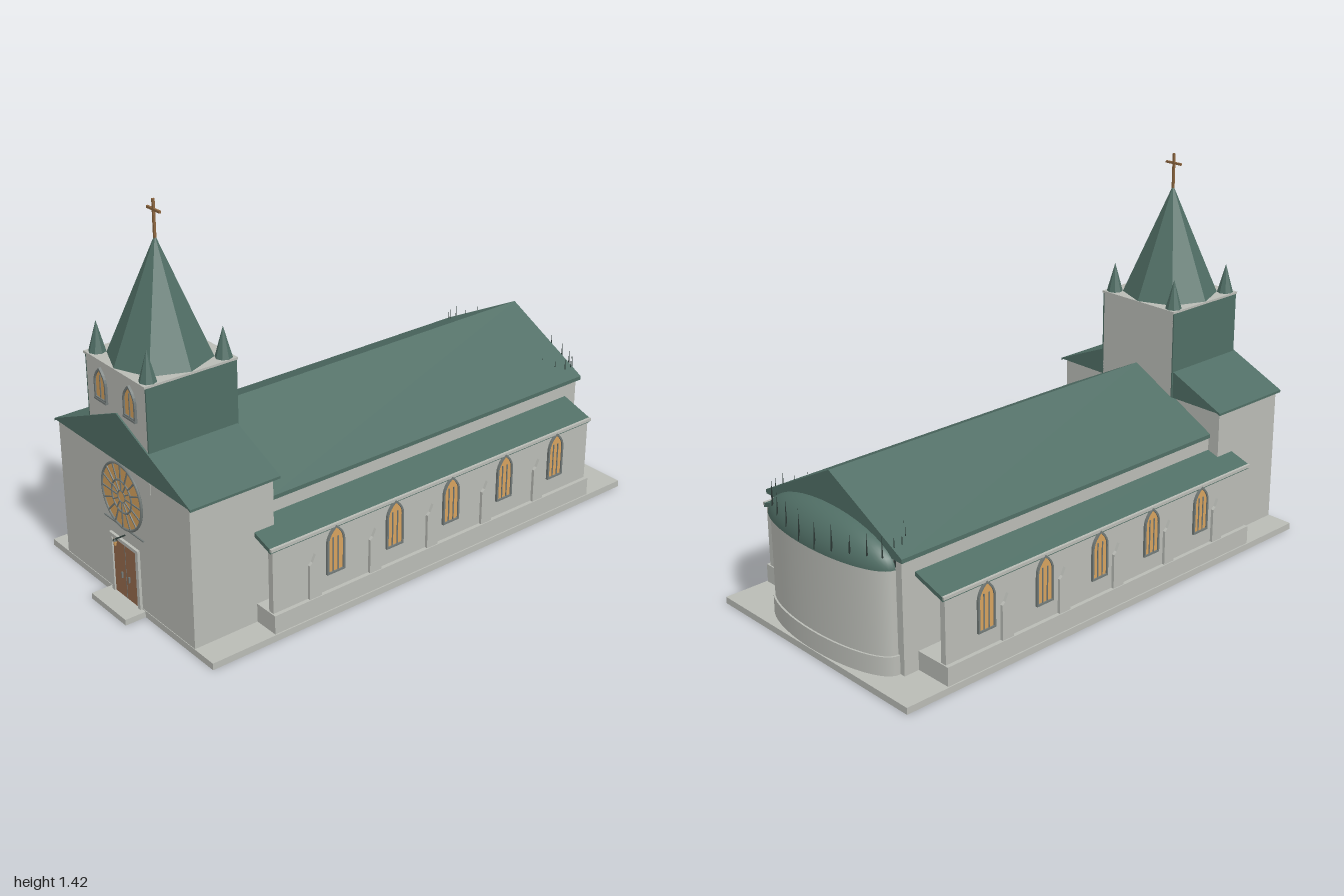
import * as THREE from 'three';

const mat = (name, color) => {
  const m = new THREE.MeshStandardMaterial({ color });
  m.name = name;
  return m;
};

export function createModel() {
  const stone = mat('pale stone', 0xb9bbb5);
  const roof = mat('green roof', 0x506e65);
  const trim = mat('grey trim', 0x727a78);
  const wood = mat('door wood', 0x94694c);
  const glass = mat('amber glass', 0xd6a25e);
  const bronze = mat('bronze', 0x8c6640);
  const iron = mat('dark iron', 0x2c3835);

  const model = new THREE.Group();
  model.name = 'church';

  const add = (name, geo, material, x = 0, y = 0, z = 0, parent = model) => {
    const m = new THREE.Mesh(geo, material);
    m.name = name;
    m.position.set(x, y, z);
    parent.add(m);
    return m;
  };
  // Box given by its minimum and maximum on each axis
  const box = (name, material, x0, x1, y0, y1, z0, z1, parent = model) =>
    add(name, new THREE.BoxGeometry(Math.abs(x1 - x0), y1 - y0, z1 - z0), material,
      (x0 + x1) / 2, (y0 + y1) / 2, (z0 + z1) / 2, parent);
  // Outline in x and y, drawn out from z0 to z1
  const prism = (name, material, pts, z0, z1, parent = model) => {
    const shape = new THREE.Shape(pts.map(p => new THREE.Vector2(p[0], p[1])));
    const geo = new THREE.ExtrudeGeometry(shape, { depth: z1 - z0, bevelEnabled: false });
    return add(name, geo, material, 0, 0, z0, parent);
  };

  // Pointed arch outline standing on y = 0
  const arch = (w, h, Type = THREE.Shape, y0 = 0) => {
    const s = new Type();
    const spring = h - w * 0.85;
    s.moveTo(-w / 2, y0);
    s.lineTo(w / 2, y0);
    s.lineTo(w / 2, spring);
    s.quadraticCurveTo(w / 2, spring + w * 0.45, 0, h);
    s.quadraticCurveTo(-w / 2, spring + w * 0.45, -w / 2, spring);
    s.closePath();
    return s;
  };
  const archWindow = (name, w, h, mullions) => {
    const g = new THREE.Group();
    g.name = name;
    const opts = depth => ({ depth, bevelEnabled: false, curveSegments: 5 });
    add('glass', new THREE.ExtrudeGeometry(arch(w, h), opts(0.004)), glass, 0, 0, 0, g);
    const frame = arch(w + 0.014, h + 0.01, THREE.Shape, -0.007);
    frame.holes.push(arch(w, h, THREE.Path));
    add('frame', new THREE.ExtrudeGeometry(frame, opts(0.009)), trim, 0, 0, 0, g);
    mullions.forEach(x => box('mullion', trim, x - 0.002, x + 0.002, 0,
      h - w * 0.3 - Math.abs(x) * 1.5, 0, 0.007, g));
    return g;
  };

  // Ground slab and entrance step
  box('groundSlab', stone, -0.5, 0.5, 0, 0.025, -1, 0.92);
  box('entranceStep', stone, -0.107, 0.107, 0, 0.022, 0.9, 1);

  // Nave
  box('naveWalls', stone, -0.35, 0.35, 0.02, 0.45, -0.885, 0.6);
  prism('naveRoof', roof, [[-0.365, 0.44], [0.365, 0.44], [0.365, 0.455], [0, 0.645], [-0.365, 0.455]], -0.895, 0.58);

  // Apse with a half dome and iron spikes
  const apse = add('apseWall', new THREE.CylinderGeometry(1, 1, 0.4, 48), stone, 0, 0.22, -0.89);
  apse.scale.set(0.322, 1, 0.1);
  apse.scale.y = 0.95;
  const plinth = add('apsePlinth', new THREE.CylinderGeometry(1, 1, 0.075, 48), stone, 0, 0.0575, -0.89);
  plinth.scale.set(0.33, 1, 0.107);
  const dome = add('apseRoof', new THREE.SphereGeometry(1, 32, 10, Math.PI, Math.PI, 0, Math.PI / 2),
    roof, 0, 0.405, -0.893);
  dome.scale.set(0.33, 0.12, 0.105);
  const spike = new THREE.ConeGeometry(0.005, 0.115, 5);
  for (let i = 0; i < 18; i++) {
    const a = -0.65 + (i / 17) * (Math.PI + 1.3);
    add('apseSpike', spike, iron, 0.322 * Math.cos(a), 0.467, -0.87 - 0.124 * Math.sin(a));
  }

  // Side aisles, open at both ends
  for (const s of [1, -1]) {
    const aisle = new THREE.Group();
    aisle.name = s > 0 ? 'leftAisle' : 'rightAisle';
    model.add(aisle);
    box('aislePlinth', stone, s * 0.34, s * 0.495, 0.02, 0.095, -0.825, 0.665, aisle);
    box('aisleWall', stone, s * 0.457, s * 0.48, 0.09, 0.335, -0.82, 0.66, aisle);
    prism('aisleRoof', roof, [[s * 0.34, 0.388], [s * 0.482, 0.343], [s * 0.482, 0.327], [s * 0.34, 0.372]],
      -0.83, 0.67, aisle);
    box('gutter', stone, s * 0.478, s * 0.488, 0.334, 0.345, -0.83, 0.67, aisle);
    for (let i = 0; i < 5; i++) {
      const z = 0.4 - i * 0.262;
      const w = archWindow('aisleWindow', 0.062, 0.165, [-0.011, 0.011]);
      w.position.set(s * 0.48, 0.165, z);
      w.rotation.y = s * Math.PI / 2;
      aisle.add(w);
      // Buttress with a stepped, pointed head
      const b = new THREE.Group();
      b.name = 'buttress';
      b.position.set(s * 0.478, 0, z + 0.09);
      b.rotation.y = s * Math.PI / 2;
      aisle.add(b);
      prism('buttressShaft', stone, [[-0.025, 0.09], [0.025, 0.09], [0.025, 0.225], [0.013, 0.235],
        [0, 0.262], [-0.013, 0.235], [-0.025, 0.225]], 0, 0.013, b);
    }
  }

  // Front block with a broad gable
  box('frontBlock', stone, -0.397, 0.397, 0.02, 0.55, 0.59, 0.918);
  prism('frontRoof', roof, [[-0.413, 0.543], [-0.4, 0.55], [0.4, 0.55], [0.413, 0.543],
    [0.413, 0.552], [0, 0.73], [-0.413, 0.552]], 0.572, 0.926);

  // Rose window
  const rose = new THREE.Group();
  rose.name = 'roseWindow';
  rose.position.set(0, 0.42, 0.918);
  model.add(rose);
  add('roseGlass', new THREE.CylinderGeometry(0.122, 0.122, 0.006, 48), glass, 0, 0, 0.001, rose).rotation.x = Math.PI / 2;
  for (const [r, t] of [[0.12, 0.005], [0.06, 0.004], [0.022, 0.003]])
    add('roseRing', new THREE.TorusGeometry(r, t, 6, 48), trim, 0, 0, 0.004, rose);
  const spokes = (count, r0, r1, w) => {
    for (let i = 0; i < count; i++) {
      const a = (i / count) * Math.PI * 2;
      const m = add('roseSpoke', new THREE.BoxGeometry(r1 - r0, w, 0.007), trim,
        Math.cos(a) * (r0 + r1) / 2, Math.sin(a) * (r0 + r1) / 2, 0.004, rose);
      m.rotation.z = a;
    }
  };
  spokes(16, 0.06, 0.12, 0.005);
  spokes(12, 0.022, 0.06, 0.004);
  box('roseSill', trim, -0.12, 0.12, 0.299, 0.303, 0.915, 0.923);

  // Door, surround and lamp
  prism('doorFrame', stone, [[-0.088, 0.02], [-0.072, 0.02], [-0.072, 0.237], [0.072, 0.237], [0.072, 0.02],
    [0.088, 0.02], [0.088, 0.25], [-0.088, 0.25]], 0.915, 0.928);
  box('door', wood, -0.072, 0.072, 0.022, 0.237, 0.915, 0.922);
  box('doorSeam', trim, -0.001, 0.001, 0.022, 0.237, 0.92, 0.923);
  for (const x of [-0.022, 0.022]) box('doorHandle', trim, x - 0.002, x + 0.002, 0.095, 0.118, 0.92, 0.928);
  box('lampArm', iron, -0.002, 0.002, 0.268, 0.272, 0.915, 0.965);
  add('lampCap', new THREE.ConeGeometry(0.01, 0.01, 6), iron, 0, 0.27, 0.958);
  add('lamp', new THREE.CylinderGeometry(0.007, 0.005, 0.018, 6), glass, 0, 0.256, 0.958);

  // Tower: stone front and back, green cladding on the sides
  box('tower', stone, -0.176, 0.176, 0.5, 0.885, 0.567, 0.92);
  for (const s of [1, -1]) {
    box('towerCladding', roof, s * 0.175, s * 0.181, 0.55, 0.885, 0.567, 0.92);
    const w = archWindow('belfryWindow', 0.056, 0.1, [0]);
    w.position.set(s * 0.087, 0.752, 0.92);
    model.add(w);
    box('belfrySill', trim, s * 0.087 - 0.036, s * 0.087 + 0.036, 0.74, 0.747, 0.915, 0.931);
  }
  box('towerCornice', stone, -0.182, 0.182, 0.882, 0.89, 0.563, 0.926);

  // Spire, corner pinnacles and cross
  const cone = (name, r, h, x, z) => {
    const geo = new THREE.ConeGeometry(r, h, 8).toNonIndexed();
    geo.computeVertexNormals();
    return add(name, geo, roof, x, 0.888 + h / 2, z);
  };
  cone('spire', 0.18, 0.417, 0, 0.744);
  for (const x of [-0.15, 0.15]) for (const z of [0.597, 0.891]) cone('pinnacle', 0.031, 0.112, x, z);
  box('crossPost', bronze, -0.004, 0.004, 1.29, 1.425, 0.74, 0.748);
  box('crossBar', bronze, -0.037, 0.037, 1.385, 1.393, 0.74, 0.748);

  return model;
}
